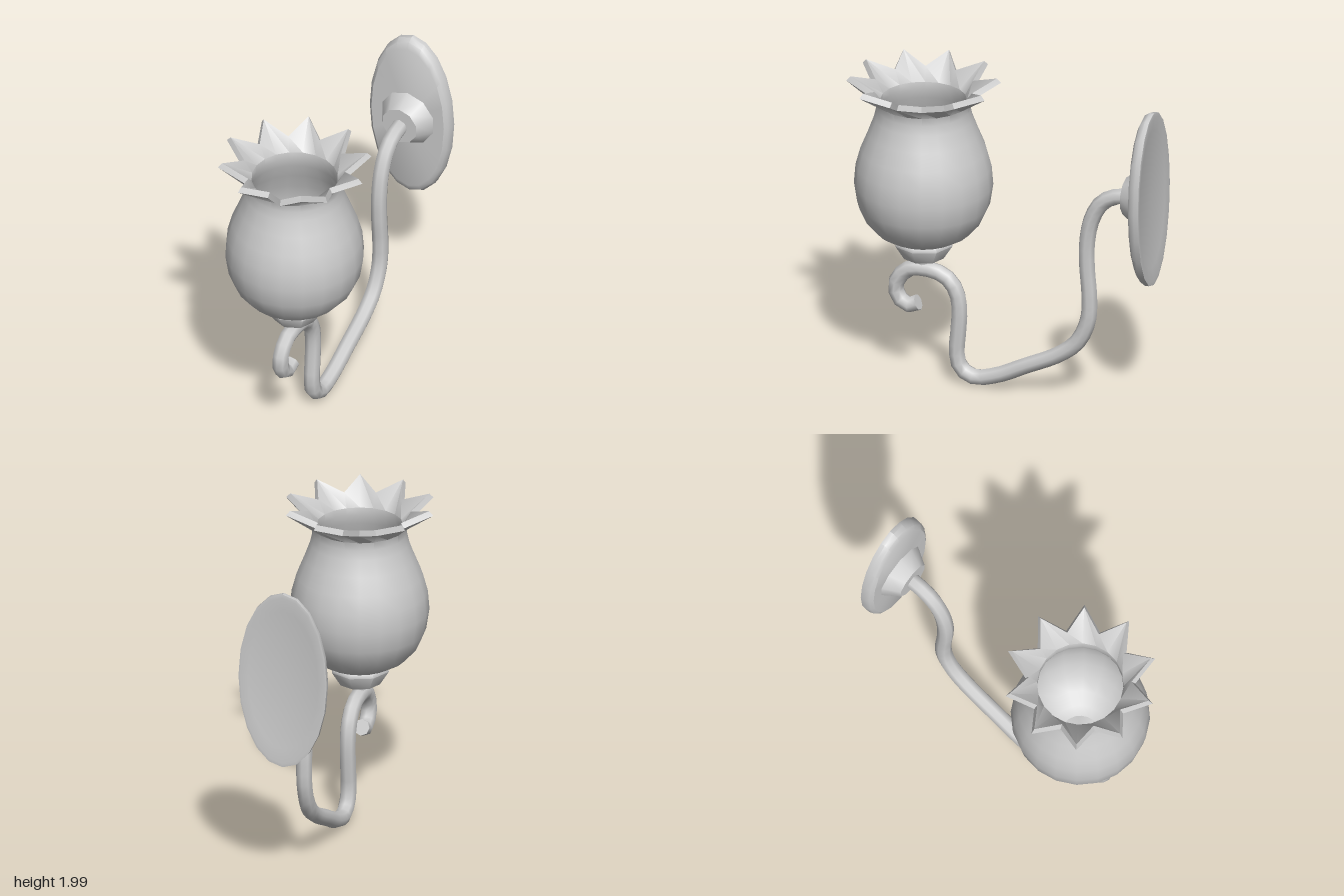
import * as THREE from 'three';
import { toCreasedNormals } from 'three/addons/utils/BufferGeometryUtils.js';

const material = new THREE.MeshStandardMaterial({ color: 0xcccccc, side: THREE.DoubleSide });
const SHADE_Z = 0.525;

function part(name, geometry, parent) {
  const mesh = new THREE.Mesh(geometry, material);
  mesh.name = name;
  parent.add(mesh);
  return mesh;
}

function lathe(points, sides) {
  return new THREE.LatheGeometry(points.map(([r, y]) => new THREE.Vector2(r, y)), sides);
}

// Thin-walled tulip bowl; the two rim rings zigzag between valleys and tips
function shadeGeometry() {
  const outer = [
    [0.15, 0.93], [0.21, 0.945], [0.29, 0.99], [0.36, 1.07], [0.405, 1.17], [0.425, 1.3], [0.415, 1.42],
    [0.385, 1.53], [0.34, 1.64], [0.303, 1.74], [0.289, 1.8], [0.29, 1.85]
  ];
  const inner = outer.map(([r, y]) => [r - 0.026, y + (y < 1.1 ? 0.02 : 0.005)]).reverse();
  const rim = outer.length;
  const profile = [...outer, [0.335, 1.91], [0.312, 1.94], ...inner, outer[0]];
  const tips = { [rim]: [0.472, 1.972], [rim + 1]: [0.445, 2.0] };
  const sides = 20;
  const geometry = lathe(profile, sides);
  const pos = geometry.attributes.position;
  for (let i = 1; i < sides; i += 2) {
    const a = (i / sides) * Math.PI * 2;
    for (const j of [rim, rim + 1]) {
      const [r, y] = tips[j];
      pos.setXYZ(i * profile.length + j, r * Math.sin(a), y, r * Math.cos(a));
    }
  }
  return toCreasedNormals(geometry, 0.75);
}

export function createModel() {
  const group = new THREE.Group();
  group.name = 'wallLamp';

  // Shade with its cup and short stem
  const lamp = new THREE.Group();
  lamp.name = 'lampHead';
  lamp.position.z = SHADE_Z;
  group.add(lamp);
  part('shade', shadeGeometry(), lamp);
  const cup = lathe([[0, 0.815], [0.13, 0.815], [0.187, 0.905], [0.18, 0.93], [0.17, 0.935], [0, 0.86]], 8);
  part('cup', toCreasedNormals(cup, 0.9), lamp);
  part('stem', new THREE.CylinderGeometry(0.037, 0.037, 0.1, 8), lamp).position.y = 0.775;

  // Scrolled arm in the x = 0 plane, given as [z, y]
  const path = [
    [0.56, 0.5], [0.62, 0.475], [0.68, 0.51], [0.707, 0.585], [0.68, 0.66], [0.61, 0.72], [0.53, 0.73],
    [0.44, 0.722], [0.36, 0.68], [0.31, 0.6], [0.293, 0.49], [0.3, 0.35], [0.31, 0.2], [0.285, 0.11],
    [0.2, 0.06], [0.05, 0.093], [-0.13, 0.18], [-0.35, 0.29], [-0.47, 0.39], [-0.54, 0.54], [-0.55, 0.7],
    [-0.535, 0.9], [-0.535, 1.06], [-0.565, 1.22], [-0.63, 1.34], [-0.72, 1.395], [-0.85, 1.415]
  ];
  const curve = new THREE.CatmullRomCurve3(path.map(([z, y]) => new THREE.Vector3(0, y, z)));
  part('arm', new THREE.TubeGeometry(curve, 52, 0.051, 8), group);
  const tip = part('armTip', new THREE.CircleGeometry(0.051, 8), group);
  tip.position.copy(curve.getPoint(0));
  tip.lookAt(curve.getPoint(0).sub(curve.getTangent(0)));

  // Oval wall plate with a shallow dished back
  const plate = lathe([
    [0, -0.95], [0.8, -0.958], [0.96, -0.97], [1, -0.968], [1, -0.94], [0.965, -0.91], [0.89, -0.892], [0, -0.89]
  ], 20);
  plate.rotateX(Math.PI / 2).scale(0.283, 0.57, 1);
  part('wallPlate', toCreasedNormals(plate, 0.6), group).position.y = 1.415;

  // Tapered boss joining arm and plate
  const boss = new THREE.CylinderGeometry(0.12, 0.19, 0.11, 10).rotateX(Math.PI / 2);
  part('boss', boss, group).position.set(0, 1.415, -0.845);

  return group;
}
